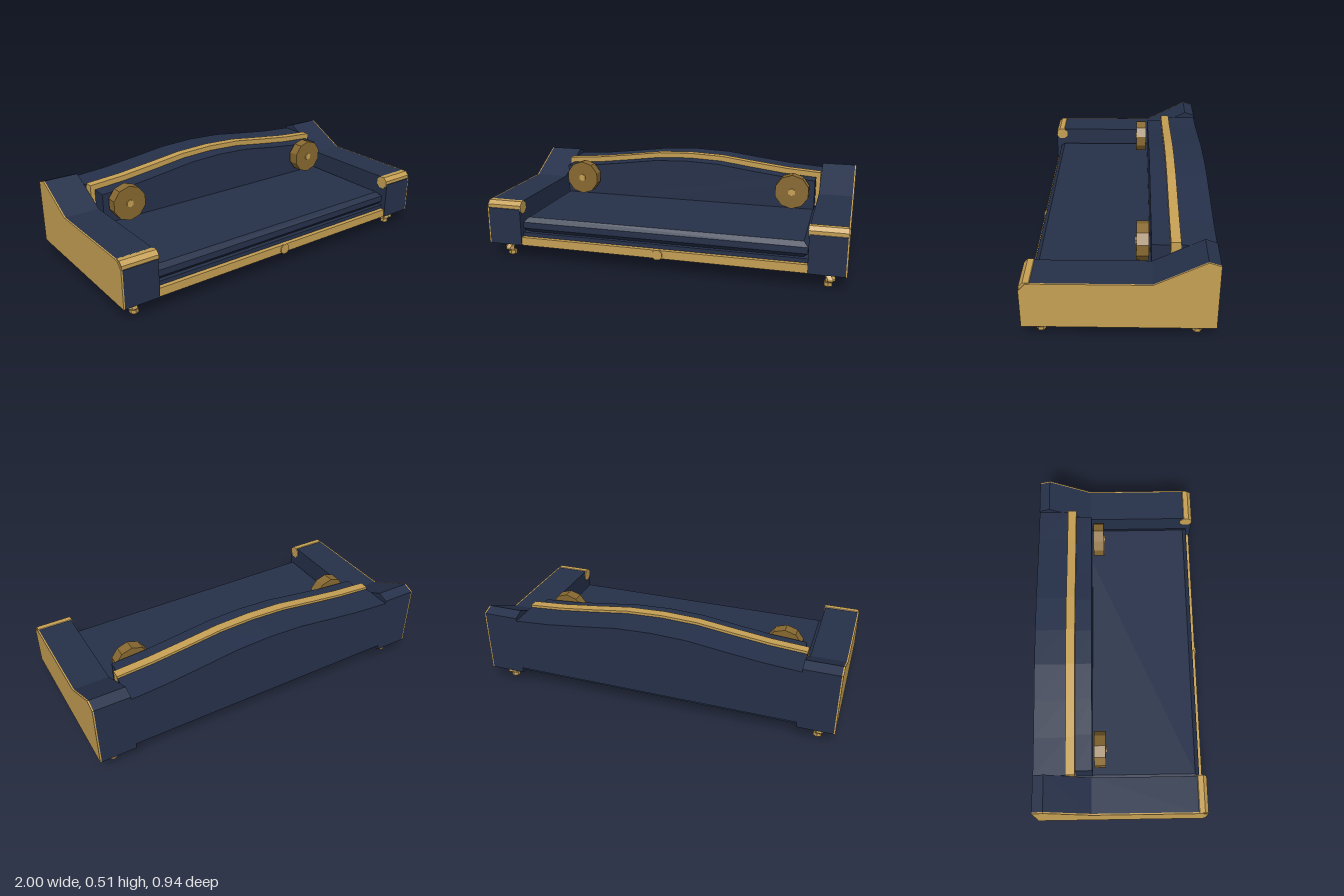
import * as THREE from 'three';

const mat = (name, color) => {
  const m = new THREE.MeshStandardMaterial({ color, flatShading: true });
  m.name = name;
  return m;
};

export function createModel() {
  const navy = mat('navy fabric', 0x253049);
  const gold = mat('gold trim', 0xc6a054);
  const bronze = mat('dark gold cushion', 0x886931);
  const sofa = new THREE.Group();
  sofa.name = 'sofa';

  const add = (name, geometry, material, x = 0, y = 0, z = 0) => {
    const mesh = new THREE.Mesh(geometry, material);
    mesh.name = name;
    mesh.position.set(x, y, z);
    sofa.add(mesh);
    return mesh;
  };
  const shapeOf = pts => new THREE.Shape(pts.map(p => new THREE.Vector2(...p)));
  const extrude = (pts, depth) =>
    new THREE.ExtrudeGeometry(shapeOf(pts), { depth, bevelEnabled: false });

  // Arched slab with its front at z1 and its back at z0
  const rise = [0, 0.014, 0.038, 0.064, 0.072, 0.064, 0.038, 0.014, 0];
  const arch = (halfW, bottom, shoulder, z0, z1) => {
    const top = rise.map((r, i) => [halfW * (1 - i / 4), shoulder + r]);
    return extrude([[-halfW, bottom], [halfW, bottom], ...top], z1 - z0).translate(0, 0, z0);
  };

  // Base and chamfered seat cushion
  add('base', new THREE.BoxGeometry(1.6, 0.07, 0.88), navy, 0, 0.12, 0);
  const b = 0.025;
  const seat = new THREE.ExtrudeGeometry(
    shapeOf([[-0.772, -0.415], [0.772, -0.415], [0.772, 0.25], [-0.772, 0.25]]),
    { depth: 0.035, bevelEnabled: true, bevelThickness: b, bevelSize: b, bevelSegments: 1 });
  seat.rotateX(-Math.PI / 2);
  add('seatCushion', seat, navy, 0, 0.155 + b, 0);

  // Layered backrest
  add('backCushion', arch(0.775, 0.16, 0.412, -0.25, -0.155), navy);
  add('backRail', arch(0.8, 0.15, 0.441, -0.297, -0.247), gold);
  add('backPanel', arch(0.8, 0.115, 0.427, -0.47, -0.297), navy);

  // Front rail with a round boss
  add('frontRail', new THREE.BoxGeometry(1.6, 0.047, 0.03), gold, 0, 0.1085, 0.45);
  add('railBoss', new THREE.CylinderGeometry(0.03, 0.03, 0.012, 8)
    .rotateY(Math.PI / 8).rotateX(Math.PI / 2), gold, 0, 0.106, 0.465);

  // Arm profile as (z, y)
  const profile = [[0.47, 0.085], [0.47, 0.295], [0.438, 0.331], [0.41, 0.335],
    [-0.16, 0.335], [-0.41, 0.463], [-0.47, 0.443], [-0.47, 0.085]];
  const armGeometry = width =>
    extrude(profile.map(([z, y]) => [-z, y]), width).rotateY(Math.PI / 2).translate(-width / 2, 0, 0);

  // Leg lofted from hexagonal sections: [y, x, z, radius]
  const sections = [[0.09, 0.885, 0.371, 0.025], [0.045, 0.916, 0.398, 0.026],
    [0.034, 0.915, 0.398, 0.027], [0.015, 0.905, 0.387, 0.015]];
  const legGeometry = (sx, sz) => {
    const n = 6, pos = [], index = [];
    for (const [y, x, z, r] of sections)
      for (let i = 0; i < n; i++) {
        const a = i / n * Math.PI * 2;
        pos.push(sx * x + r * Math.cos(a), y, sz * z + r * Math.sin(a));
      }
    for (let s = 0; s < sections.length - 1; s++)
      for (let i = 0; i < n; i++) {
        const p = s * n + i, q = s * n + (i + 1) % n;
        index.push(p, q, p + n, q, q + n, p + n);
      }
    const g = new THREE.BufferGeometry();
    g.setAttribute('position', new THREE.Float32BufferAttribute(pos, 3));
    g.setIndex(index);
    g.computeVertexNormals();
    return g;
  };

  for (const s of [-1, 1]) {
    const side = s > 0 ? 'left' : 'right';
    // Arm, gold outer panel and the roll along its front edge
    add(side + 'Arm', armGeometry(0.192), navy, s * 0.896);
    add(side + 'ArmPanel', armGeometry(0.008), gold, s * 0.996);
    add(side + 'ArmRoll', new THREE.CylinderGeometry(0.038, 0.038, 0.2, 8)
      .rotateY(Math.PI / 8).rotateZ(Math.PI / 2), gold, s * 0.895, 0.302, 0.433);

    // Round throw cushion with a centre button
    add(side + 'RoundCushion', new THREE.CylinderGeometry(0.1, 0.1, 0.062, 10)
      .rotateX(Math.PI / 2), bronze, s * 0.65, 0.356, -0.112);
    add(side + 'CushionButton', new THREE.CylinderGeometry(0.022, 0.022, 0.008, 6)
      .rotateX(Math.PI / 2), gold, s * 0.65, 0.356, -0.079);

    // Curved legs with block feet
    for (const z of [-1, 1]) {
      const name = side + (z > 0 ? 'Front' : 'Rear');
      add(name + 'Leg', legGeometry(s, z), gold);
      add(name + 'Foot', new THREE.CylinderGeometry(0.024, 0.024, 0.02, 6),
        gold, s * 0.905, 0.01, z * 0.386);
    }
  }
  return sofa;
}
